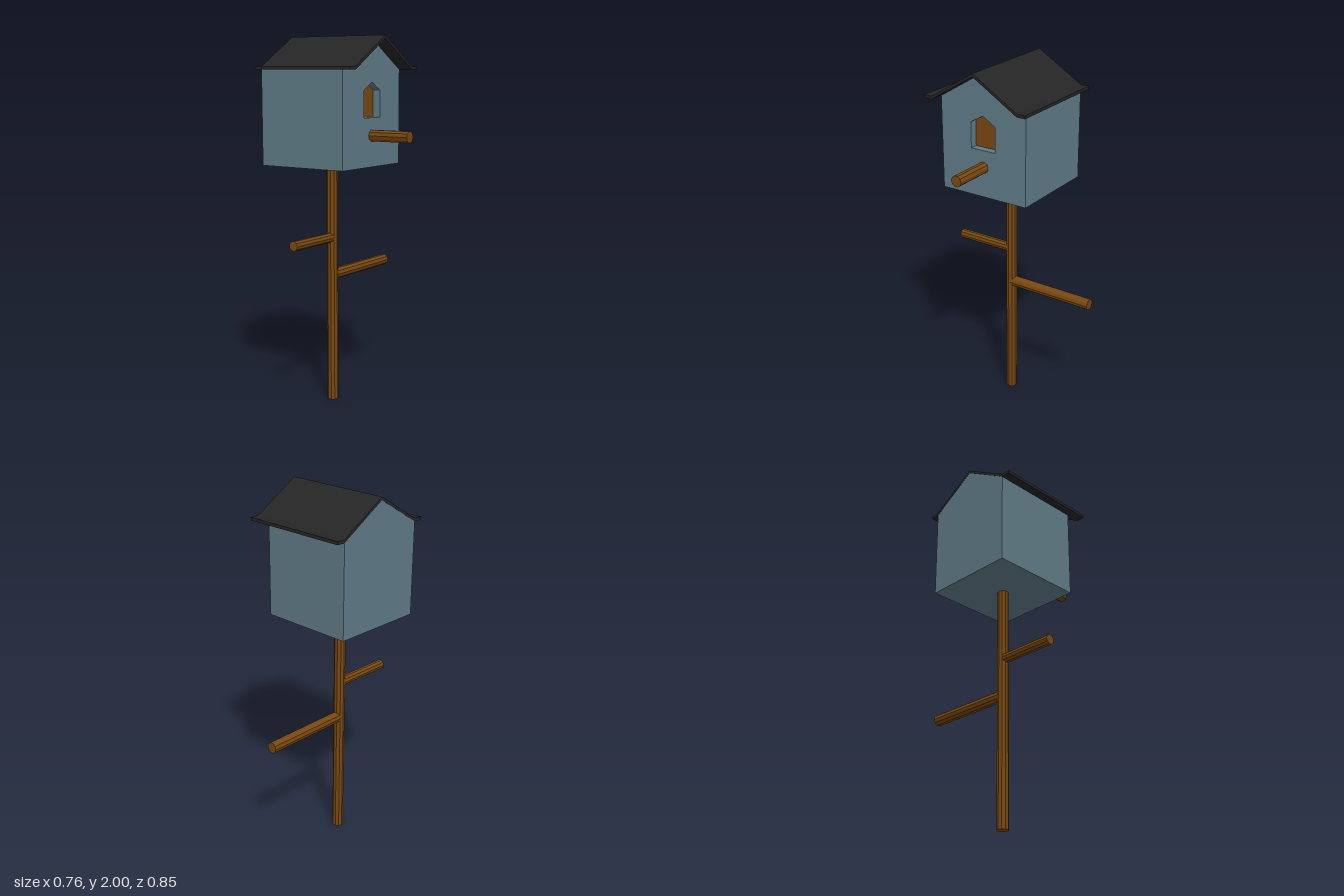
import * as THREE from 'three';

const material = (color) => new THREE.MeshStandardMaterial({ color, flatShading: true });

// Closed outline, mirrored from its right half (listed bottom to top, ending on the centre line)
function gableShape(half, PathType = THREE.Shape) {
  const left = half.filter(([s]) => s > 0).reverse().map(([s, y]) => [-s, y]);
  return new PathType([...half, ...left].map(([s, y]) => new THREE.Vector2(s, y)));
}

// Extrude a gable-end outline along x, from x0 to x1
function extrudeX(shape, x0, x1) {
  const g = new THREE.ExtrudeGeometry(shape, { depth: x1 - x0, bevelEnabled: false });
  return g.rotateY(Math.PI / 2).translate(x0, 0, 0);
}

export function createModel() {
  const model = new THREE.Group();
  model.name = 'birdhouse';
  const wood = material(0x784810);
  const paint = material(0x5f7b87);
  const roofing = material(0x252525);

  const postX = -0.115, midZ = 0.087;
  const back = -0.38, front = 0.145, recess = 0.1;

  const add = (name, geometry, mat, parent = model) => {
    const mesh = new THREE.Mesh(geometry, mat);
    mesh.name = name;
    parent.add(mesh);
    return mesh;
  };

  // Ten-sided round rod between two points on one axis
  const rod = (name, radius, from, to) => {
    const a = new THREE.Vector3(...from), b = new THREE.Vector3(...to);
    const g = new THREE.CylinderGeometry(radius, radius, a.distanceTo(b), 10);
    if (a.x !== b.x) g.rotateZ(-Math.PI / 2);
    else g.rotateY(Math.PI / 2);
    if (a.z !== b.z) g.rotateX(Math.PI / 2);
    add(name, g, wood).position.copy(a.add(b).multiplyScalar(0.5));
  };

  // Post with its two branches, and the perch below the door
  rod('post', 0.031, [postX, 0, midZ], [postX, 1.33, midZ]);
  rod('frontBranch', 0.027, [postX, 0.92, midZ], [postX, 0.92, 0.428]);
  rod('backBranch', 0.031, [postX, 0.712, midZ - 0.01], [postX, 0.712, -0.426]);
  rod('perch', 0.031, [recess, 1.485, midZ], [0.378, 1.485, midZ]);

  const house = new THREE.Group();
  house.name = 'house';
  house.position.z = midZ;
  model.add(house);

  // Solid body behind a door wall with a pointed opening
  const wall = [[0.262, 1.32], [0.262, 1.826], [0, 1.985]];
  const door = [[0.075, 1.578], [0.075, 1.718], [0, 1.762]];
  add('body', extrudeX(gableShape(wall), back, recess), paint, house);
  const doorWall = gableShape(wall);
  doorWall.holes.push(gableShape(door, THREE.Path));
  add('doorWall', extrudeX(doorWall, recess, front), paint, house);
  add('doorRecess', extrudeX(gableShape(door), recess - 0.005, recess + 0.002), wood, house);

  // Thin gable roof with flat lips at the eaves
  const eave = [[0.262, 1.825], [0.31, 1.825], [0.31, 1.842], [0.262, 1.842]];
  const roof = new THREE.Shape([
    [0, 1.983], ...eave, [0, 2],
    ...eave.slice().reverse().map(([s, y]) => [-s, y]),
  ].map(([s, y]) => new THREE.Vector2(s, y)));
  add('roof', extrudeX(roof, back - 0.001, 0.226), roofing, house);

  return model;
}
